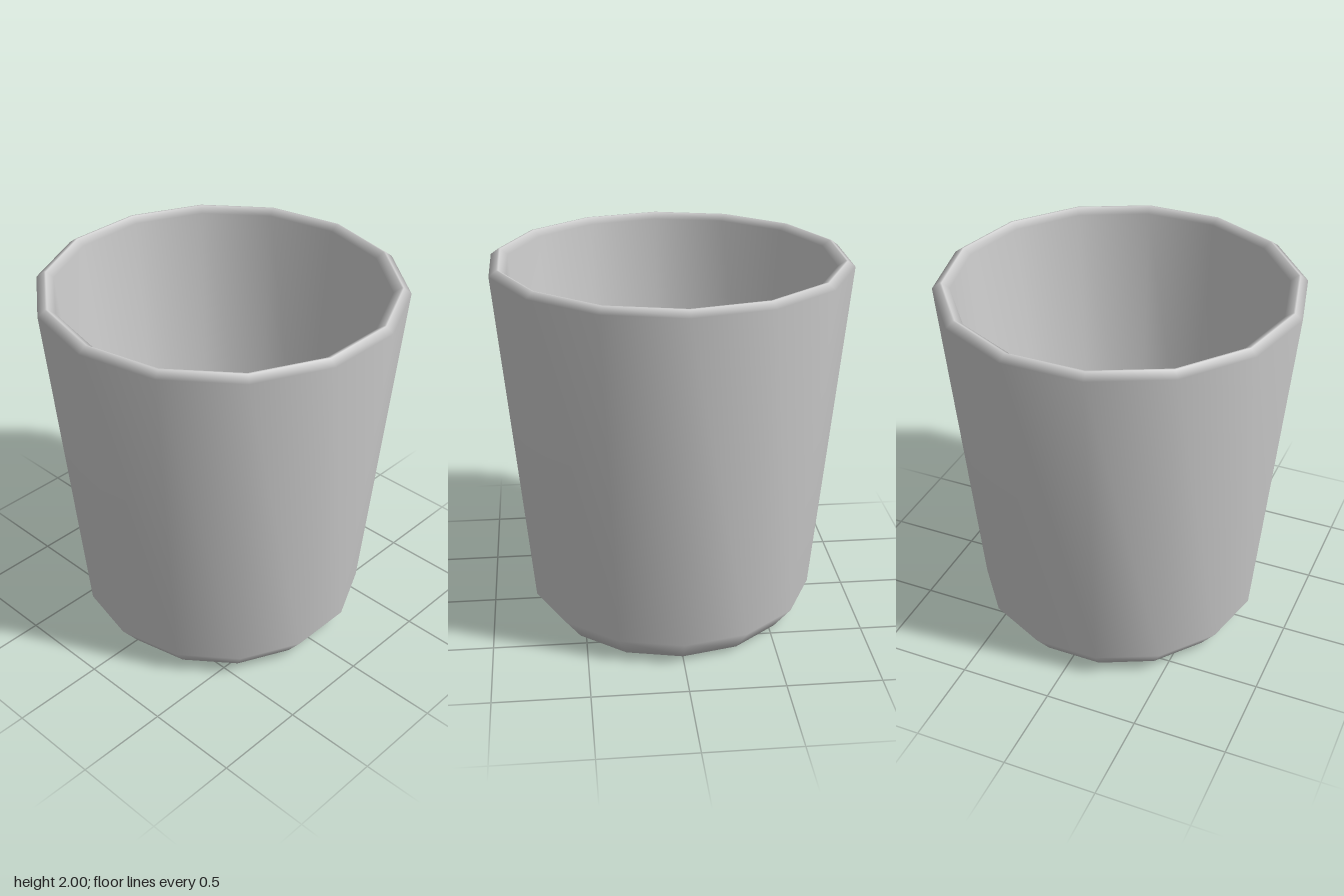
import * as THREE from 'three';
import { mergeVertices } from 'three/addons/utils/BufferGeometryUtils.js';

const SIDES = 14;

// Revolve a profile and weld it, so normals are smooth and weighted by face area
function revolve(profile) {
  const points = profile.map(([r, y]) => new THREE.Vector2(r, y));
  const lathe = new THREE.LatheGeometry(points, SIDES, Math.PI / 2);
  lathe.deleteAttribute('uv');
  lathe.deleteAttribute('normal');
  const geometry = mergeVertices(lathe, 1e-4);
  geometry.computeVertexNormals();
  return geometry;
}

export function createModel() {
  const group = new THREE.Group();
  group.name = 'cup';

  const material = new THREE.MeshStandardMaterial({ color: 0xcccccc });

  // Closed wall: underside, chamfer, outer wall, bevelled rim, inner wall, floor
  const cup = new THREE.Mesh(revolve([
    [0, 0],
    [0.68, 0],
    [0.78, 0.13],
    [0.95, 1.97],
    [0.91, 2],
    [0.9, 2],
    [0.86, 1.97],
    [0.7, 0.17],
    [0.63, 0.08],
    [0, 0.08],
  ]), material);
  cup.name = 'cupBody';
  group.add(cup);

  return group;
}
